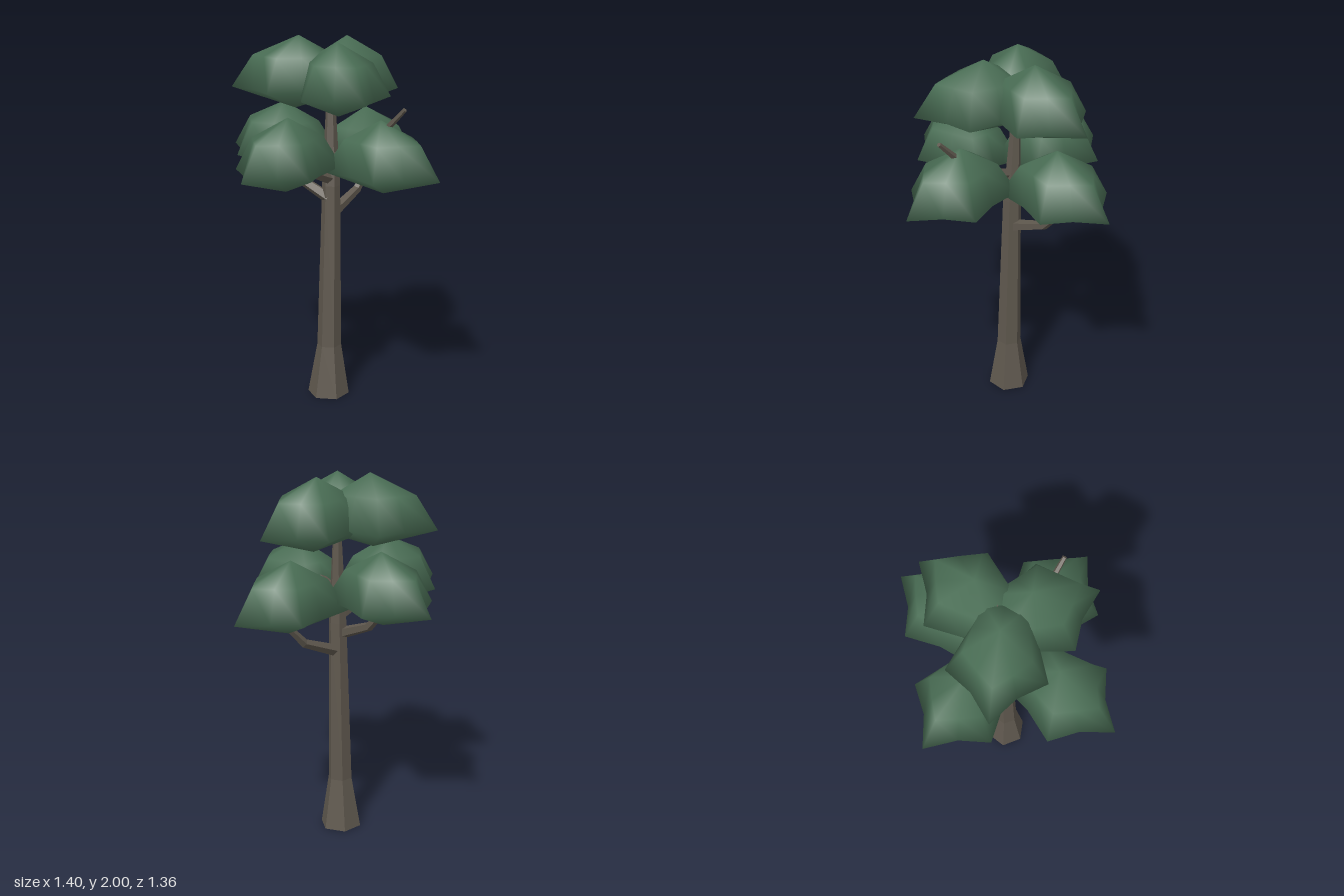
import * as THREE from 'three';
import { mergeVertices } from 'three/addons/utils/BufferGeometryUtils.js';

const V = (x, y, z) => new THREE.Vector3(x, y, z);

// Skin a stack of equal-length rings, listed from bottom to top
function loft(rings) {
  const n = rings[0].length, index = [];
  for (let i = 0; i < rings.length - 1; i++) {
    for (let j = 0; j < n; j++) {
      const k = (j + 1) % n, a = i * n, b = a + n;
      index.push(a + j, b + j, b + k, a + j, b + k, a + k);
    }
  }
  const geo = new THREE.BufferGeometry().setFromPoints(rings.flat());
  geo.setIndex(index);
  return geo;
}

// Faceted tapering limb; side is the horizontal axis of its cross-section
function limb(points, radii, sides, side) {
  const rings = points.map((p, i) => {
    const t = points[Math.min(i + 1, points.length - 1)].clone().sub(points[Math.max(i - 1, 0)]).normalize();
    const n = side.clone().cross(t);
    return Array.from({ length: sides }, (_, j) => {
      const a = (j / sides) * Math.PI * 2;
      return p.clone().addScaledVector(side, radii[i] * Math.cos(a)).addScaledVector(n, radii[i] * Math.sin(a));
    });
  });
  const geo = loft(rings).toNonIndexed();
  geo.computeVertexNormals();
  return geo;
}

// Five-pointed leaf cushion: [height, corner radius, valley radius, inward shift]
function clumpGeometry() {
  const profile = [
    [-0.105, 0, 0, 0],
    [0, 0.34, 0.245, 0],
    [0.17, 0.225, 0.185, 0],
    [0.275, 0, 0, -0.02],
  ];
  const rings = profile.map(([y, corner, valley, shift]) =>
    Array.from({ length: 10 }, (_, j) => {
      const a = (j / 10) * Math.PI * 2, r = j % 2 ? valley : corner;
      return V(shift + r * Math.cos(a), y, 0.76 * r * Math.sin(a));
    }));
  const geo = mergeVertices(loft(rings));
  geo.computeVertexNormals();
  return geo;
}

export function createModel() {
  const bark = new THREE.MeshStandardMaterial({ color: 0x5f584e, side: THREE.DoubleSide });
  bark.name = 'bark';
  const leaves = new THREE.MeshStandardMaterial({ color: 0x4a6e55 });
  leaves.name = 'leaves';

  const tree = new THREE.Group();
  tree.name = 'tree';
  const add = (name, geo, mat) => {
    const mesh = new THREE.Mesh(geo, mat);
    mesh.name = name;
    tree.add(mesh);
    return mesh;
  };

  // Six-sided trunk with a flared foot, leaning slightly
  const top = V(0.04, 1.9, -0.035);
  add('trunk', limb(
    [V(-0.003, 0, -0.018), V(0, 0.29, -0.015), V(0.02, 1.2, -0.017), top, top],
    [0.115, 0.067, 0.049, 0.012, 0], 6, V(1, 0, 0)), bark);

  // Bent branches: [name, direction x, direction z, height of root]
  const branches = [
    ['leftBranch', 1, 0, 1.04],
    ['backBranch', 0, -1, 1.13],
    ['rightBranch', -1, 0, 1.24],
    ['frontBranch', 0, 1, 1.35],
  ];
  for (const [name, dx, dz, y] of branches) {
    const at = (r, h) => V(0.015 * Math.abs(dx) + dx * r, y + h, -0.018 * Math.abs(dx) + dz * r);
    const tip = at(0.46, 0.31);
    add(name, limb([at(0.01, 0), at(0.24, 0.09), tip, tip],
      [0.034, 0.025, 0.012, 0], 5, V(dz, 0, -dx)), bark);
  }

  // Leaf clumps: [name, x, rim height, z, outward x, outward z]
  const clump = clumpGeometry();
  const clumps = [
    ['lowerLeftLeaves', 0.358, 1.31, -0.02, 1, 0],
    ['lowerRightLeaves', -0.358, 1.342, -0.02, -1, 0],
    ['lowerFrontLeaves', -0.005, 1.318, 0.34, 0, 1],
    ['lowerBackLeaves', -0.005, 1.355, -0.34, 0, -1],
    ['upperLeftLeaves', 0.19, 1.712, -0.025, 1, 0],
    ['upperFrontLeaves', -0.085, 1.705, 0.11, -0.5, 0.866],
    ['upperBackLeaves', -0.09, 1.725, -0.17, -0.5, -0.866],
  ];
  for (const [name, x, y, z, dx, dz] of clumps) {
    const mesh = add(name, clump, leaves);
    mesh.position.set(x, y, z);
    mesh.rotation.y = Math.atan2(-dz, dx);
  }
  return tree;
}
